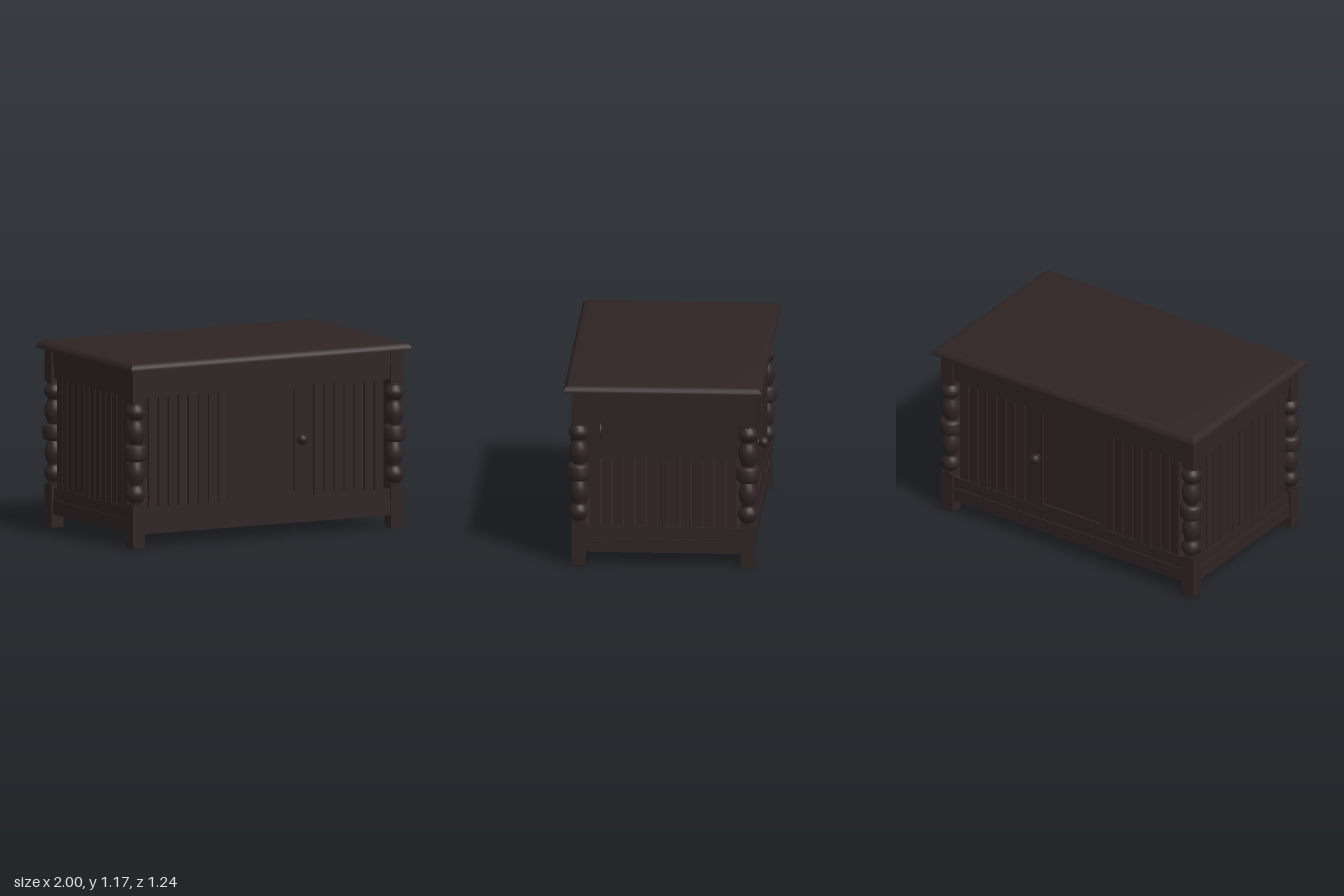
import * as THREE from 'three';
import { toCreasedNormals } from 'three/addons/utils/BufferGeometryUtils.js';

export function createModel() {
  const model = new THREE.Group();
  const wood = new THREE.MeshStandardMaterial({ color: 0x2f2424 });
  wood.name = 'darkWood';

  const add = (parent, name, geometry, x = 0, y = 0, z = 0) => {
    const mesh = new THREE.Mesh(geometry, wood);
    mesh.name = name;
    mesh.position.set(x, y, z);
    parent.add(mesh);
    return mesh;
  };
  // Box given by its limits on each axis
  const box = (parent, name, x0, x1, y0, y1, z0, z1) =>
    add(parent, name, new THREE.BoxGeometry(x1 - x0, y1 - y0, z1 - z0),
      (x0 + x1) / 2, (y0 + y1) / 2, (z0 + z1) / 2);

  // Table top: a slab whose edge rounds inwards towards the top
  const slab = new THREE.BoxGeometry(2, 0.05, 1.24, 1, 8, 1);
  const p = slab.attributes.position;
  for (let i = 0; i < p.count; i++) {
    const t = Math.max(0, (p.getY(i) + 0.017) / 0.042);
    const inset = 0.048 * (1 - Math.sqrt(Math.max(0, 1 - t * t))) + 0.008 * t;
    p.setX(i, p.getX(i) - Math.sign(p.getX(i)) * inset);
    p.setZ(i, p.getZ(i) - Math.sign(p.getZ(i)) * inset);
  }
  add(model, 'tableTop', toCreasedNormals(slab, 0.6), 0, 1.15, 0);

  // Turned part of a post: four beads and a central ring
  const profile = [[0, 0.27], [0.043, 0.27], [0.045, 0.283]];
  const bead = (y0, y1, neck, belly) => {
    for (let i = 0; i <= 10; i++) {
      const a = (i / 10) * Math.PI;
      profile.push([neck + (belly - neck) * Math.sin(a), y0 + (y1 - y0) * (i / 10)]);
    }
  };
  bead(0.285, 0.393, 0.038, 0.063);
  bead(0.395, 0.545, 0.038, 0.059);
  profile.push([0.05, 0.546], [0.066, 0.555], [0.072, 0.57], [0.072, 0.63], [0.066, 0.642], [0.05, 0.651]);
  bead(0.652, 0.805, 0.038, 0.061);
  bead(0.807, 0.902, 0.038, 0.063);
  profile.push([0.045, 0.905], [0.043, 0.92], [0, 0.92]);
  const turning = toCreasedNormals(
    new THREE.LatheGeometry(profile.map(([r, y]) => new THREE.Vector2(r, y)), 24), 0.7);

  // Four posts
  for (const sx of [-1, 1]) for (const sz of [-1, 1]) {
    const post = new THREE.Group();
    post.name = 'post';
    post.position.set(sx * 0.92, 0, sz * 0.529);
    box(post, 'foot', -0.043, 0.043, 0, 0.272, -0.043, 0.043);
    add(post, 'turning', turning);
    box(post, 'postHead', -0.043, 0.043, 0.915, 1.125, -0.043, 0.043);
    model.add(post);
  }

  // Stepped rails above and below the slats, built facing +z
  const rails = (parent, half, face) => {
    box(parent, 'topRail', -half, half, 1.03, 1.126, face - 0.045, face);
    box(parent, 'innerTopRail', -half, half, 0.945, 1.03, face - 0.04, face - 0.008);
    box(parent, 'innerBottomRail', -half, half, 0.175, 0.25, face - 0.04, face - 0.008);
    box(parent, 'bottomRail', -half, half, 0.085, 0.175, face - 0.045, face);
  };
  const slat = (parent, x, w, face) =>
    box(parent, 'slat', x - w / 2, x + w / 2, 0.24, 0.955, face - 0.034, face - 0.014);

  // Long sides: slats either side of a panelled door; the knob is at +x on both
  for (const s of [1, -1]) {
    const side = new THREE.Group();
    side.name = s > 0 ? 'frontSide' : 'backSide';
    side.rotation.y = s > 0 ? 0 : Math.PI;
    const face = 0.562;
    rails(side, 0.885, face);
    for (let k = 0; k < 8; k++) for (const m of [-1, 1]) slat(side, m * (0.304 + 0.0715 * k), 0.062, face);

    const door = new THREE.Group();
    door.name = 'door';
    const ends = [[-0.272, -0.242], [0.2, 0.272]].map(e => (s > 0 ? e : [-e[1], -e[0]]));
    ends.forEach(([a, b]) => box(door, 'doorStile', a, b, 0.25, 0.945, face - 0.04, face - 0.01));
    const inner = s > 0 ? [-0.242, 0.2] : [-0.2, 0.242];
    box(door, 'doorTopRail', ...inner, 0.935, 0.945, face - 0.04, face - 0.01);
    box(door, 'doorBottomRail', ...inner, 0.25, 0.28, face - 0.04, face - 0.01);
    box(door, 'doorPanel', ...inner, 0.27, 0.94, face - 0.038, face - 0.025);
    const knobX = s * 0.236;
    const stem = add(door, 'knobStem', new THREE.CylinderGeometry(0.015, 0.02, 0.03, 16), knobX, 0.61, face);
    stem.rotation.x = Math.PI / 2;
    add(door, 'knob', new THREE.SphereGeometry(0.034, 20, 14), knobX, 0.61, face + 0.025);
    side.add(door);
    model.add(side);
  }

  // Short sides: slats all the way across
  for (const s of [1, -1]) {
    const end = new THREE.Group();
    end.name = s > 0 ? 'leftEnd' : 'rightEnd';
    end.rotation.y = s * Math.PI / 2;
    rails(end, 0.49, 0.952);
    for (let k = -6; k <= 6; k++) slat(end, k * 0.071, 0.062, 0.952);
    model.add(end);
  }

  // Floor between the bottom rails
  box(model, 'floor', -0.92, 0.92, 0.15, 0.17, -0.53, 0.53);

  return model;
}
